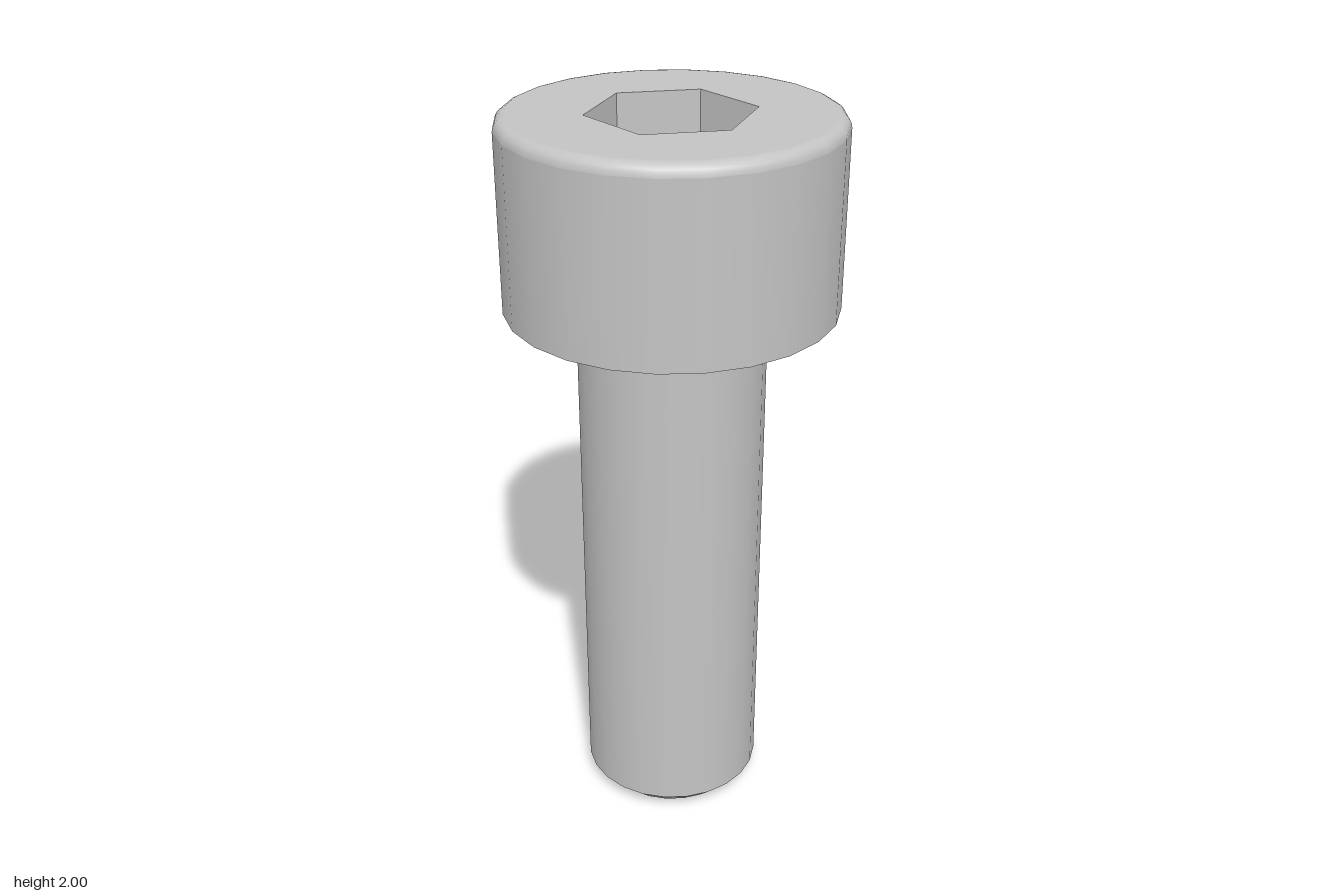
import * as THREE from 'three';
import { mergeVertices } from 'three/addons/utils/BufferGeometryUtils.js';

const SIDES = 24;
const HEAD_R = 0.437, HEAD_BOTTOM = 1.5, FILLET = 0.031;
const SHANK_R = 0.25, TIP_R = 0.2, CHAMFER = 0.05;
const HEX_R = 0.217, HEX_FLOOR = 1.75, HEX_APEX = 1.63;

export function createModel() {
  const screw = new THREE.Group();
  screw.name = 'socketHeadScrew';
  const steel = new THREE.MeshStandardMaterial({ color: 0xc4c4c4 });
  steel.name = 'steel grey';

  const add = (name, geometry) => {
    const mesh = new THREE.Mesh(geometry, steel);
    mesh.name = name;
    screw.add(mesh);
  };
  // Each profile is smooth in itself; separate profiles meet in sharp edges
  const lathe = (points, sides = SIDES) =>
    new THREE.LatheGeometry(points.map(([r, y]) => new THREE.Vector2(r, y)), sides);
  const polygon = (radius, sides) => Array.from({ length: sides }, (_, i) => {
    const a = (i / sides) * Math.PI * 2;
    return new THREE.Vector2(Math.sin(a) * radius, Math.cos(a) * radius);
  });

  // Shank with chamfered tip
  add('tipFace', lathe([[0, 0], [TIP_R, 0]]));
  add('tipChamfer', lathe([[TIP_R, 0], [SHANK_R, CHAMFER]]));
  add('shank', lathe([[SHANK_R, CHAMFER], [SHANK_R, HEAD_BOTTOM]]));

  // Head with rounded upper rim
  add('headUnderside', lathe([[SHANK_R, HEAD_BOTTOM], [HEAD_R, HEAD_BOTTOM]]));
  add('headSide', lathe([[HEAD_R, HEAD_BOTTOM], [HEAD_R, 2 - FILLET]]));
  const rim = [];
  for (let i = 0; i <= 5; i++) {
    const a = (i / 5) * Math.PI / 2;
    rim.push([HEAD_R - FILLET + Math.cos(a) * FILLET, 2 - FILLET + Math.sin(a) * FILLET]);
  }
  add('headRim', lathe(rim));

  // Flat top pierced by the hexagonal socket
  const top = new THREE.Shape(polygon(HEAD_R - FILLET, SIDES));
  top.holes.push(new THREE.Path(polygon(HEX_R, 6)));
  add('headTop', new THREE.ShapeGeometry(top).rotateX(-Math.PI / 2).translate(0, 2, 0));

  // Socket walls face inward: walk the profile downward
  const walls = lathe([[HEX_R, 2], [HEX_R, HEX_FLOOR]], 6).toNonIndexed();
  walls.computeVertexNormals();
  add('socketWalls', walls);

  // Shallow drill-point floor, shaded smoothly across its centre
  const floor = lathe([[HEX_R, HEX_FLOOR], [0, HEX_APEX]], 6);
  floor.deleteAttribute('normal');
  floor.deleteAttribute('uv');
  const smoothFloor = mergeVertices(floor);
  smoothFloor.computeVertexNormals();
  add('socketFloor', smoothFloor);

  return screw;
}
